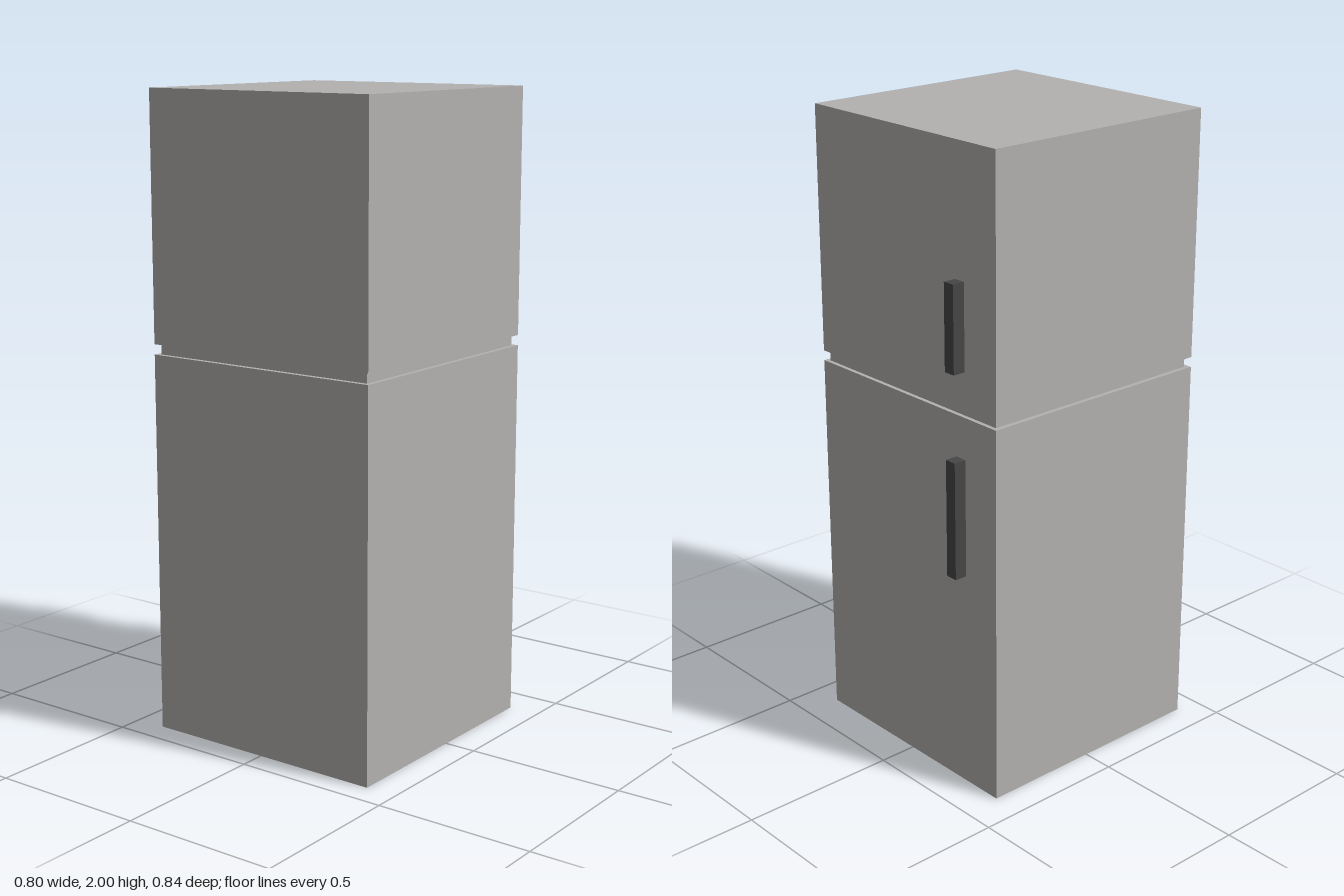
import * as THREE from 'three';

export function createModel() {
  const group = new THREE.Group();
  const bodyGrey = new THREE.MeshStandardMaterial({ name: 'bodyGrey', color: 0xb3b1af });
  const handleGrey = new THREE.MeshStandardMaterial({ name: 'handleDarkGrey', color: 0x464646 });

  // Box given by its minimum and maximum corners
  function box(name, material, min, max) {
    const size = max.map((v, i) => v - min[i]);
    const mesh = new THREE.Mesh(new THREE.BoxGeometry(...size), material);
    mesh.position.set(...min.map((v, i) => v + size[i] / 2));
    mesh.name = name;
    group.add(mesh);
  }

  // Two cabinets joined by a slightly recessed seam
  box('fridgeCabinet', bodyGrey, [-0.4, 0, -0.38], [0.4, 1.2, 0.42]);
  box('recessedSeam', bodyGrey, [-0.385, 1.2, -0.367], [0.385, 1.232, 0.405]);
  box('freezerCabinet', bodyGrey, [-0.4, 1.232, -0.38], [0.4, 2, 0.42]);

  // Vertical handles on the door side
  box('fridgeHandle', handleGrey, [-0.267, 0.7, -0.42], [-0.228, 1.07, -0.38]);
  box('freezerHandle', handleGrey, [-0.267, 1.338, -0.42], [-0.228, 1.604, -0.38]);

  return group;
}
